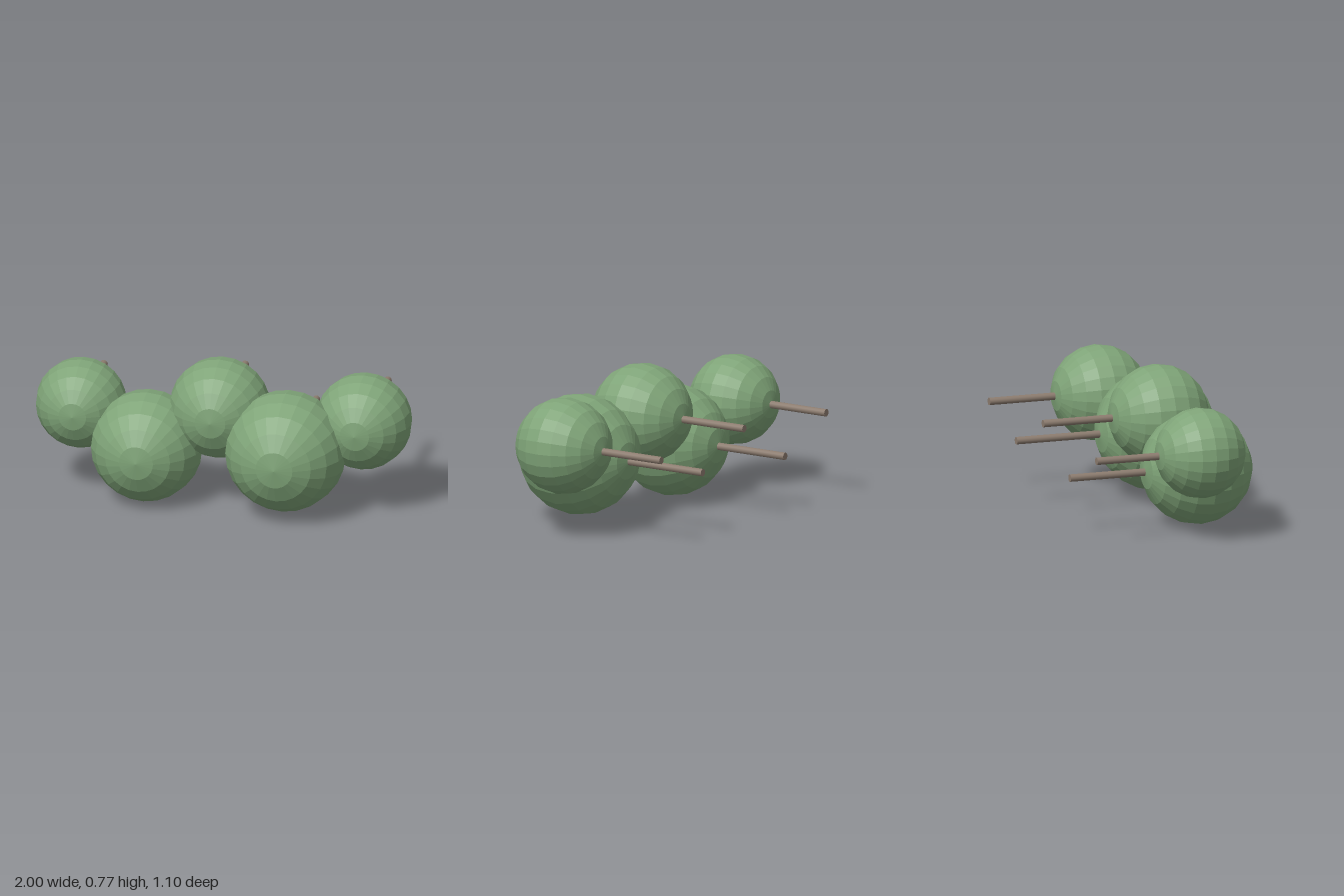
import * as THREE from 'three';

const leafGreen = new THREE.MeshStandardMaterial({ color: 0x7fa478 });
leafGreen.name = 'leafGreen';
leafGreen.flatShading = true;
const stemBrown = new THREE.MeshStandardMaterial({ color: 0x8c7c6f });
stemBrown.name = 'stemBrown';

// Each foliage ball: centre x, y, z and radius
const BALLS = [
  [-0.763, 0.455, 0.03, 0.237],
  [-0.387, 0.293, 0.158, 0.293],
  [-0.013, 0.51, 0.095, 0.264],
  [0.365, 0.346, 0.228, 0.317],
  [0.745, 0.481, 0.065, 0.253],
];
const BACK = -0.55;

export function createModel() {
  const group = new THREE.Group();
  group.name = 'foliageCluster';

  for (const [x, y, z, r] of BALLS) {
    // Faceted ball with its poles facing front and back
    const ball = new THREE.Mesh(new THREE.SphereGeometry(r, 24, 10).rotateX(Math.PI / 2), leafGreen);
    ball.name = 'foliageBall';
    ball.position.set(x, y, z);

    // Stem running from the middle of the ball to the common back plane
    const length = z - BACK;
    const stem = new THREE.Mesh(new THREE.CylinderGeometry(0.02, 0.02, length, 12).rotateX(Math.PI / 2), stemBrown);
    stem.name = 'stem';
    stem.position.set(x, y, (z + BACK) / 2);

    group.add(ball, stem);
  }
  return group;
}
